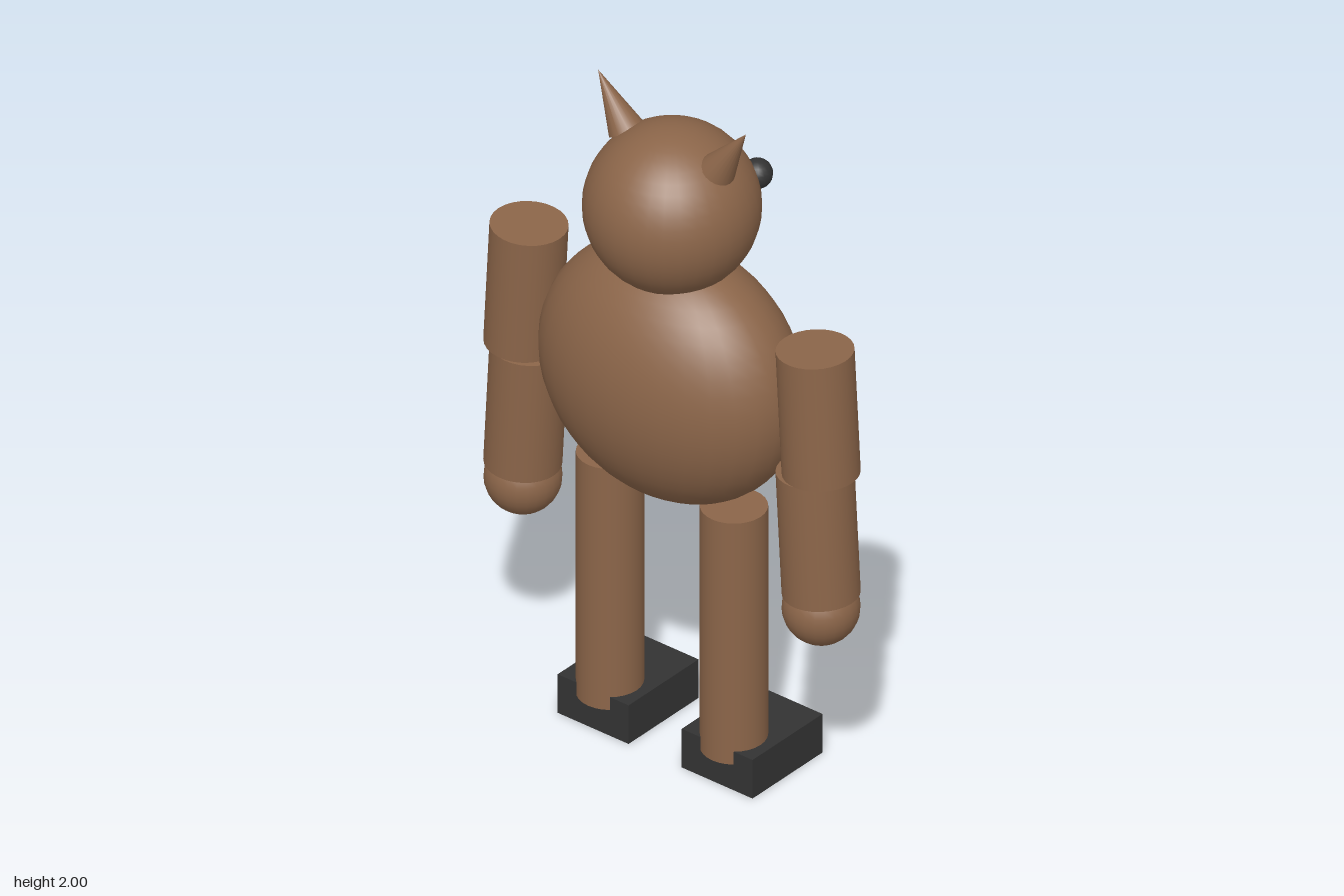
import * as THREE from 'three';

export function createModel() {
  const model = new THREE.Group();
  model.name = 'owlFigure';

  const brown = new THREE.MeshStandardMaterial({ color: 0x8b6549 });
  brown.name = 'brown';
  const charcoal = new THREE.MeshStandardMaterial({ color: 0x333333 });
  charcoal.name = 'charcoal';

  const Z = 0.02; // shared depth of body, head and limbs

  function add(name, geometry, material, x, y, z, tilt = 0) {
    const mesh = new THREE.Mesh(geometry, material);
    mesh.name = name;
    mesh.position.set(x, y, z);
    mesh.rotation.z = tilt;
    model.add(mesh);
    return mesh;
  }

  // Egg-shaped body and round head
  const body = add('body', new THREE.SphereGeometry(1, 32, 24), brown, 0, 1.175, Z);
  body.scale.set(0.402, 0.375, 0.26);
  add('head', new THREE.SphereGeometry(0.237, 32, 24), brown, 0, 1.68, Z);

  // Beak, a cone hanging point down on the face side (-z)
  const beak = new THREE.ConeGeometry(0.092, 0.188, 24);
  beak.rotateX(Math.PI);
  add('beak', beak, brown, 0, 1.491, -0.19);

  const earGeo = new THREE.ConeGeometry(0.05, 0.175, 20);
  const eyeGeo = new THREE.SphereGeometry(0.042, 16, 12);
  const armGeo = new THREE.CylinderGeometry(0.104, 0.104, 0.373, 28);
  const handGeo = new THREE.SphereGeometry(0.104, 24, 16);
  const legGeo = new THREE.CylinderGeometry(0.09, 0.09, 0.375, 28);
  const footGeo = new THREE.BoxGeometry(0.24, 0.12, 0.29);

  for (const [side, s] of [['left', 1], ['right', -1]]) {
    // Ear tuft and eye
    add(side + 'Ear', earGeo, brown, s * 0.203, 1.927, Z, -s * 0.573);
    add(side + 'Eye', eyeGeo, charcoal, s * 0.105, 1.71, -0.205);

    // Arm in two slightly tilted sections, with a round hand
    add(side + 'UpperArm', armGeo, brown, s * 0.495, 1.24, Z, s * 0.056);
    add(side + 'Forearm', armGeo, brown, s * 0.495, 0.866, Z, s * 0.056);
    add(side + 'Hand', handGeo, brown, s * 0.505, 0.635, Z);

    // Leg in two sections, with a block foot
    add(side + 'Thigh', legGeo, brown, s * 0.21, 0.6425, Z);
    add(side + 'Shin', legGeo, brown, s * 0.21, 0.2675, Z);
    add(side + 'Foot', footGeo, charcoal, s * 0.21, 0.06, -0.055);
  }

  return model;
}
